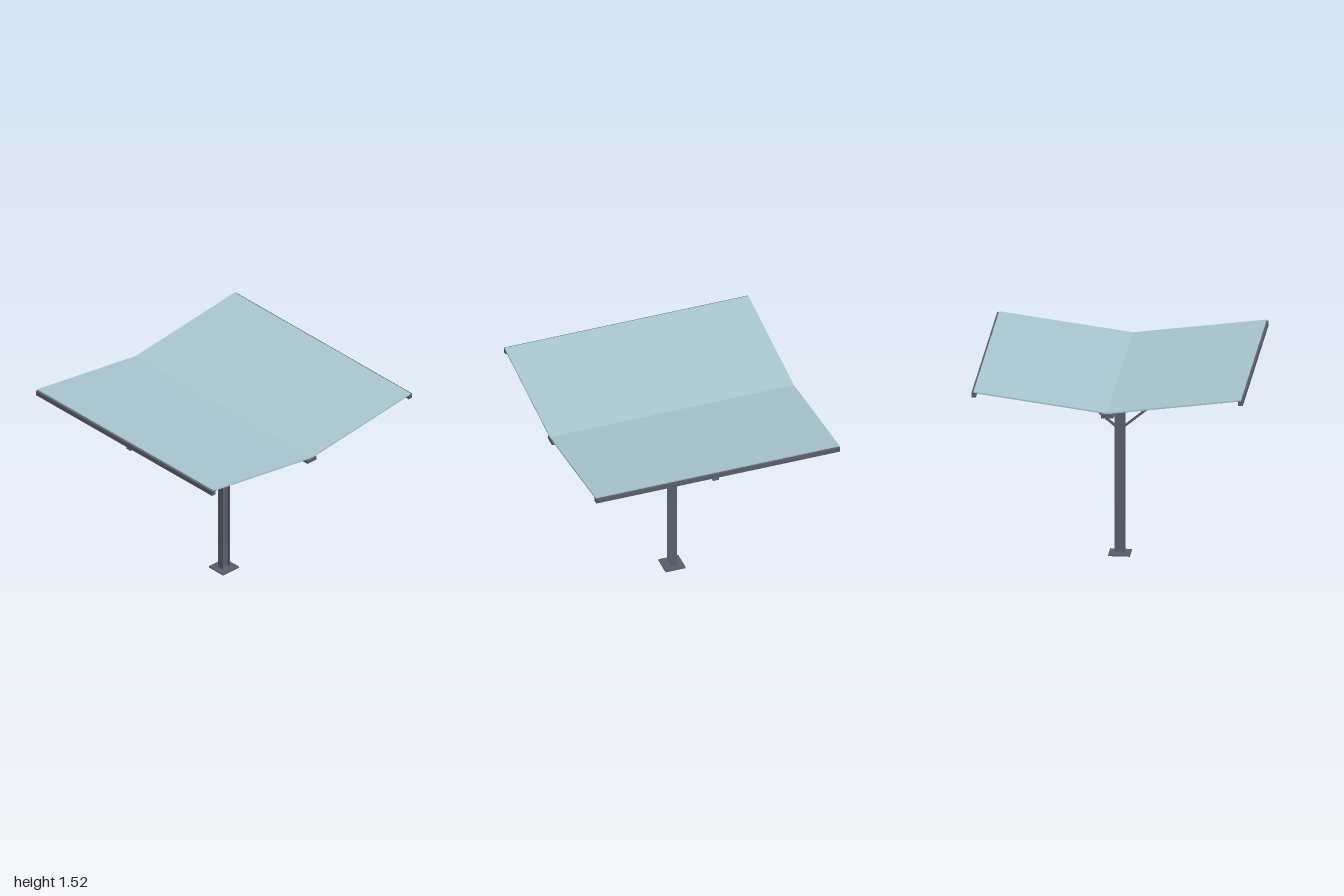
import * as THREE from 'three';

export function createModel() {
  const group = new THREE.Group();
  const steel = new THREE.MeshStandardMaterial({ color: 0x5b5e6b });
  steel.name = 'grey steel';
  const glass = new THREE.MeshStandardMaterial({ color: 0xa9c6ce });
  glass.name = 'pale blue panel';

  const add = (name, geometry, material = steel) => {
    const mesh = new THREE.Mesh(geometry, material);
    mesh.name = name;
    group.add(mesh);
    return mesh;
  };
  const box = (name, w, h, d, x, y, z) => {
    const mesh = add(name, new THREE.BoxGeometry(w, h, d));
    mesh.position.set(x, y, z);
    return mesh;
  };
  // Extrudes a [z, y] outline along x, centred on x = 0
  const extrudeX = (points, width) => {
    const shape = new THREE.Shape(points.map(([z, y]) => new THREE.Vector2(-z, y)));
    const geometry = new THREE.ExtrudeGeometry(shape, { depth: width, bevelEnabled: false });
    return geometry.translate(0, 0, -width / 2).rotateY(Math.PI / 2);
  };

  // Base plate and H-section column
  box('basePlate', 0.156, 0.01, 0.16, 0, 0.005, 0);
  box('columnWeb', 0.006, 1.32, 0.066, 0, 0.67, 0);
  for (const side of [1, -1]) {
    box('columnFlange', 0.054, 1.32, 0.007, 0, 0.67, side * 0.0335);
  }

  for (const side of [1, -1]) {
    // Sloping rafter with a square-cut outer end
    add('rafter', extrudeX([
      [0, 1.3], [side * 0.955, 1.424], [side * 0.946, 1.495], [0, 1.373],
    ], 0.046));

    // Thin diagonal brace from column to rafter
    const from = new THREE.Vector3(0, 0.955, 0);
    const to = new THREE.Vector3(0, 1.362, side * 0.49);
    const brace = box('brace', 0.016, 0.016, from.distanceTo(to), 0, 0, 0);
    brace.position.copy(from).lerp(to, 0.5);
    brace.lookAt(to);

    // Beam along the outer roof edge
    box('edgeBeam', 1.9, 0.036, 0.034, 0, 1.498, side * 0.983);
  }

  // Beam under the roof valley
  box('valleyBeam', 1.9, 0.027, 0.09, 0, 1.364, 0);

  // V-shaped roof sheet
  add('roof', extrudeX([
    [-0.985, 1.524], [-0.985, 1.513], [0, 1.383],
    [0.985, 1.513], [0.985, 1.524], [0, 1.394],
  ], 1.9), glass);

  return group;
}
